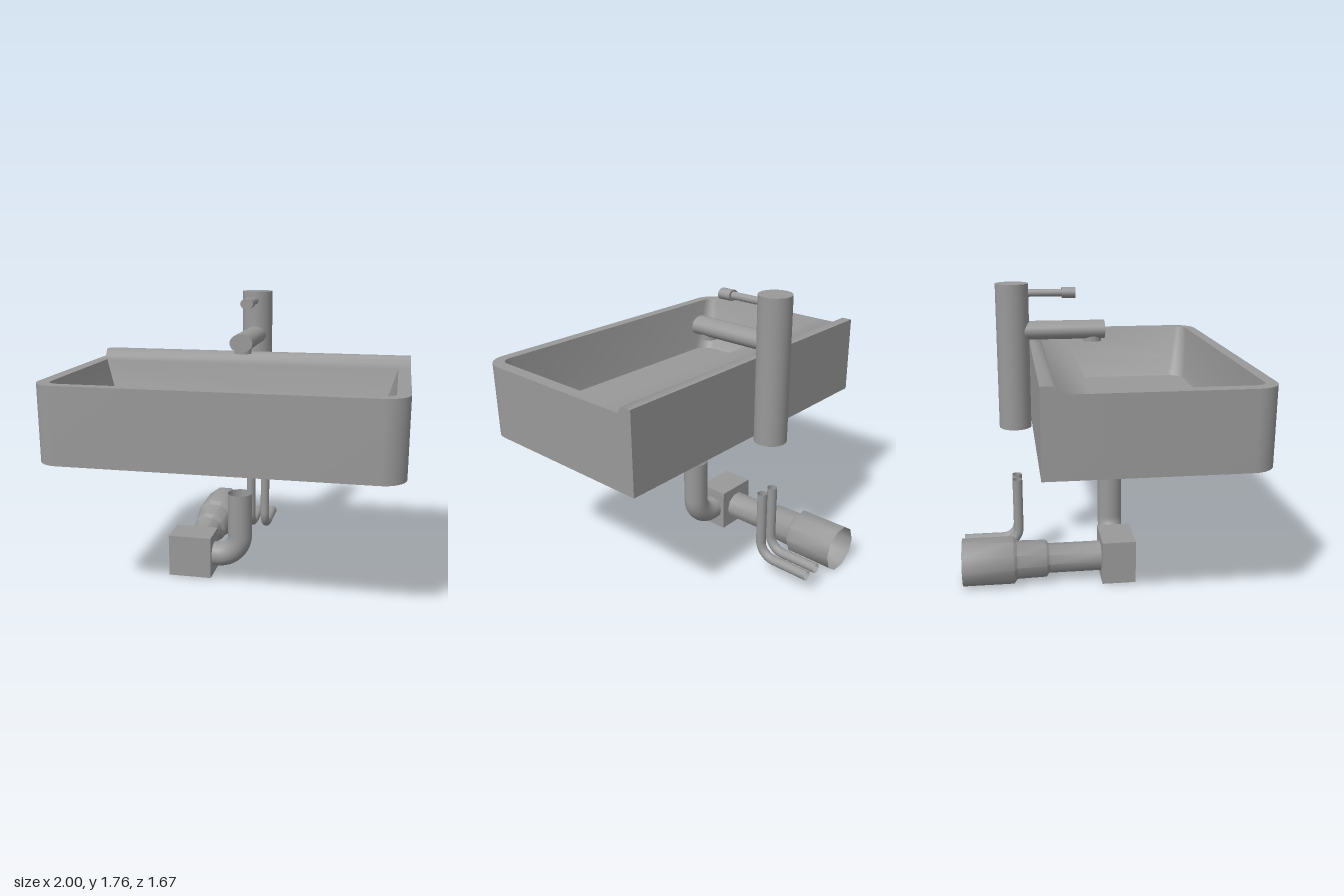
import * as THREE from 'three';
import { toCreasedNormals } from 'three/addons/utils/BufferGeometryUtils.js';

const material = new THREE.MeshStandardMaterial({ color: 0x999999, side: THREE.DoubleSide });
const V = (x, y, z) => new THREE.Vector3(x, y, z);

function add(parent, name, geometry, x = 0, y = 0, z = 0) {
  const mesh = new THREE.Mesh(geometry, material);
  mesh.name = name;
  mesh.position.set(x, y, z);
  parent.add(mesh);
  return mesh;
}

// Plan outline [x, z]: square corners at the back, rounded at the front
function outline(w, back, front, r, n) {
  const pts = [[w, back]];
  for (const [cx, start] of [[w - r, 0], [r - w, Math.PI / 2]]) {
    for (let i = 0; i <= n; i++) {
      const a = start + (i / n) * Math.PI / 2;
      pts.push([cx + r * Math.cos(a), front - r + r * Math.sin(a)]);
    }
  }
  pts.push([-w, back]);
  return pts;
}

// Wall joining a stack of outlines, each given as [points, height]
function wall(rings, crease) {
  const pos = [], index = [], n = rings[0][0].length;
  rings.forEach(([pts, y], k) => pts.forEach(([x, z], i) => {
    pos.push(x, y, z);
    if (k === 0) return;
    const j = (i + 1) % n, low = (k - 1) * n, high = k * n;
    index.push(low + i, high + i, low + j, low + j, high + i, high + j);
  }));
  const g = new THREE.BufferGeometry();
  g.setAttribute('position', new THREE.Float32BufferAttribute(pos, 3));
  g.setIndex(index);
  return toCreasedNormals(g, crease);
}

// Horizontal sheet bounded by an outline
function sheet(pts) {
  const shape = new THREE.Shape(pts.map(([x, z]) => new THREE.Vector2(x, -z)));
  return new THREE.ShapeGeometry(shape).rotateX(-Math.PI / 2);
}

// Open pipe through three points with a rounded elbow at the middle one
function elbowPipe(a, corner, b, bend, radius, sides) {
  const p = corner.clone().add(a.clone().sub(corner).setLength(bend));
  const q = corner.clone().add(b.clone().sub(corner).setLength(bend));
  const k = 0.552;
  const path = new THREE.CurvePath();
  path.add(new THREE.LineCurve3(a, p));
  path.add(new THREE.CubicBezierCurve3(p, p.clone().lerp(corner, k), q.clone().lerp(corner, k), q));
  path.add(new THREE.LineCurve3(q, b));
  return new THREE.TubeGeometry(path, 40, radius, sides);
}

// Cylinder lying along z between two depths
function rodZ(r, z0, z1, sides = 32) {
  return new THREE.CylinderGeometry(r, r, z1 - z0, sides).rotateX(Math.PI / 2).translate(0, 0, (z0 + z1) / 2);
}

export function createModel() {
  const model = new THREE.Group();
  model.name = 'washbasin';

  // Basin: hollow outer shell, U-shaped flat rim, tapered bowl
  const basin = new THREE.Group();
  basin.name = 'basin';
  model.add(basin);
  const rimY = 1.332, bowlBack = -0.132;
  const outer = outline(1, -0.387, 0.835, 0.135, 10);
  const bowlTop = outline(0.927, bowlBack, 0.77, 0.065, 4);
  const bowlMiddle = outline(0.86, -0.094, 0.748, 0.085, 4);
  const bowlFloor = outline(0.795, -0.06, 0.725, 0.1, 4);
  add(basin, 'outerWall', wall([[outer, 0.89], [outer, rimY]], 0.6));
  add(basin, 'rim', sheet([...outline(1, bowlBack, 0.835, 0.135, 10), ...bowlTop.slice().reverse()]), 0, rimY, 0);
  add(basin, 'bowlWall', wall([[bowlFloor, 1], [bowlMiddle, 1.12], [bowlTop, rimY]], 0.7));
  add(basin, 'bowlFloor', sheet(bowlFloor), 0, 1, 0);

  // Raised ledge along the back, flowing softly down into the rim
  const ledge = new THREE.Shape([[0.387, 1.331], [0.387, 1.374], [0.322, 1.374], [0.295, rimY], [-bowlBack, rimY], [-bowlBack, 1.331]]
    .map(([x, y]) => new THREE.Vector2(x, y)));
  const ledgeGeometry = new THREE.ExtrudeGeometry(ledge, { depth: 2, bevelEnabled: false });
  add(basin, 'backLedge', toCreasedNormals(ledgeGeometry.rotateY(Math.PI / 2).translate(-1, 0, 0), 1.15));

  // Tap standing behind the basin
  const tap = new THREE.Group();
  tap.name = 'tap';
  tap.position.x = -0.003;
  model.add(tap);
  add(tap, 'tapBody', new THREE.CylinderGeometry(0.097, 0.097, 0.868, 40, 1, true), 0, 1.324, -0.49);
  add(tap, 'tapTop', new THREE.CircleGeometry(0.097, 40).rotateX(-Math.PI / 2), 0, 1.758, -0.49);
  add(tap, 'spout', rodZ(1, -0.43, 0.055).scale(0.07, 0.055, 1), 0, 1.48, 0);
  add(tap, 'aerator', new THREE.CylinderGeometry(0.052, 0.052, 0.05, 24), 0, 1.437, -0.015);
  add(tap, 'leverRod', rodZ(0.022, -0.41, -0.19, 20), 0, 1.7, 0);
  add(tap, 'leverTip', rodZ(1, -0.197, -0.117, 20).scale(0.04, 0.032, 1), 0, 1.7, 0);

  // Drain: elbow pipe, trap box and stepped outlet
  const drain = new THREE.Group();
  drain.name = 'drain';
  model.add(drain);
  add(drain, 'drainPipe', elbowPipe(V(0, 0.555, 0.095), V(0, 0.14, 0.095), V(-0.2, 0.14, 0.095), 0.14, 0.076, 20));
  add(drain, 'trapBox', new THREE.BoxGeometry(0.27, 0.264, 0.2), -0.304, 0.143, 0.095);
  const steps = [[0.143, -0.835], [0.143, -0.53], [0.116, -0.51], [0.112, -0.335], [0.09, -0.318], [0.09, 0]]
    .map(([r, z]) => new THREE.Vector2(r, z));
  const outlet = new THREE.LatheGeometry(steps, 10, Math.PI / 2).rotateX(Math.PI / 2);
  add(drain, 'outletPipe', toCreasedNormals(outlet, 1.0), -0.306, 0.136, 0);

  // Pair of water supply pipes
  for (const [name, x] of [['rightSupplyPipe', -0.043], ['leftSupplyPipe', 0.055]]) {
    add(model, name, elbowPipe(V(x, 0.555, -0.49), V(x, 0.125, -0.49), V(x, 0.125, -0.835), 0.1, 0.03, 12));
  }
  return model;
}
